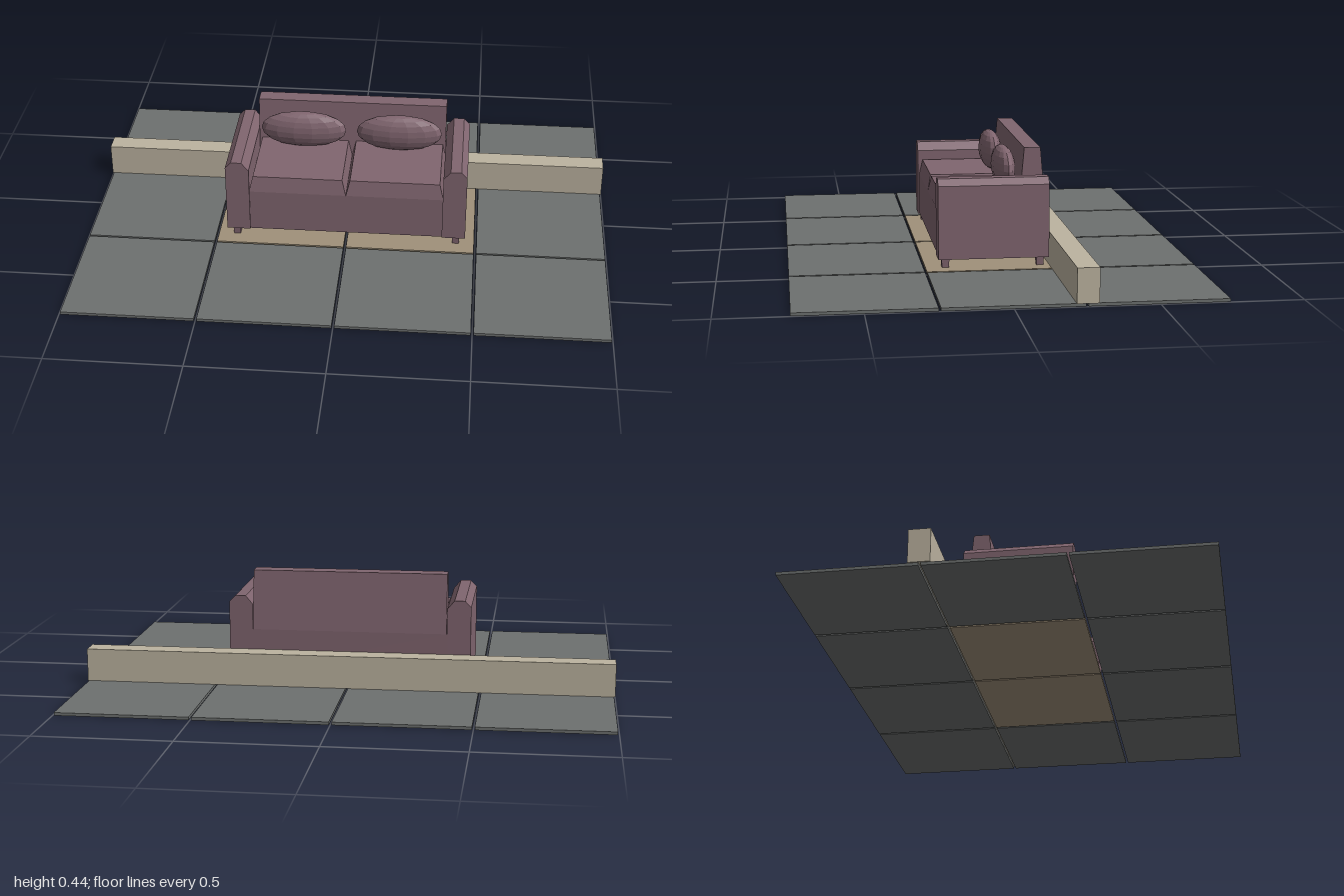
import * as THREE from 'three';

const mat = (name, color) => {
  const m = new THREE.MeshStandardMaterial({ color });
  m.name = name;
  return m;
};

export function createModel() {
  const model = new THREE.Group();
  const plum = mat('plum fabric', 0x80656f);
  const slate = mat('slate grey', 0x6d706f);
  const tan = mat('tan floor', 0xa0917a);
  const stone = mat('beige wall', 0xbcb3a0);

  const add = (name, geo, material, parent = model) => {
    const mesh = new THREE.Mesh(geo, material);
    mesh.name = name;
    parent.add(mesh);
    return mesh;
  };

  // Box given by its limits; the top face can be drawn in on x and z
  const box = (x0, x1, y0, y1, z0, z1, inX = 0, inZ = 0) => {
    const g = new THREE.BoxGeometry(x1 - x0, y1 - y0, z1 - z0).toNonIndexed();
    const p = g.attributes.position;
    for (let i = 0; i < p.count; i++) {
      if (p.getY(i) < 0) continue;
      p.setX(i, p.getX(i) - Math.sign(p.getX(i)) * inX);
      p.setZ(i, p.getZ(i) - Math.sign(p.getZ(i)) * inZ);
    }
    g.translate((x0 + x1) / 2, (y0 + y1) / 2, (z0 + z1) / 2);
    g.computeVertexNormals();
    return g;
  };

  // Floor slabs: four by three, the two middle ones tan
  const floor = new THREE.Group();
  floor.name = 'floor';
  model.add(floor);
  for (let i = 0; i < 4; i++) {
    for (let j = 0; j < 3; j++) {
      const x = -0.75 + i * 0.5, z = -0.498 + j * 0.498;
      const middle = j === 1 && (i === 1 || i === 2);
      add('floorTile', box(x - 0.245, x + 0.245, 0, 0.011, z - 0.245, z + 0.245), middle ? tan : slate, floor);
    }
  }

  // Low wall behind the sofa
  add('lowWall', box(-1, 1, 0.011, 0.135, -0.29, -0.212), stone);

  const sofa = new THREE.Group();
  sofa.name = 'sofa';
  model.add(sofa);

  // Body and backrest
  add('base', box(-0.372, 0.372, 0.045, 0.212, -0.208, 0.194), plum, sofa);
  add('backrest', box(-0.368, 0.368, 0.212, 0.438, -0.208, -0.108, 0, 0.02), plum, sofa);

  for (const s of [1, -1]) {
    // Arm with a chamfered top
    const outline = [[0.37, 0.045], [0.46, 0.045], [0.46, 0.317], [0.437, 0.341], [0.397, 0.341], [0.37, 0.309]];
    const shape = new THREE.Shape(outline.map(([x, y]) => new THREE.Vector2(s * x, y)));
    const arm = new THREE.ExtrudeGeometry(shape, { depth: 0.408, bevelEnabled: false });
    arm.translate(0, 0, -0.208);
    add('arm', arm, plum, sofa);

    // Seat cushion, narrowing upward
    const cx = s * 0.186;
    add('seatCushion', box(cx - 0.186, cx + 0.186, 0.212, 0.273, -0.125, 0.194, 0.015, 0.012), plum, sofa);

    // Faceted throw pillow: flattened ball with a full outline and thin ends
    const pillow = new THREE.SphereGeometry(1, 14, 10).toNonIndexed();
    const p = pillow.attributes.position;
    for (let i = 0; i < p.count; i++) {
      const x = p.getX(i), y = p.getY(i), z = p.getZ(i);
      p.setXYZ(i, 0.166 * x, 0.074 * y * (1 + 0.12 * x * x), 0.043 * z * (1 - 0.15 * x * x));
    }
    pillow.computeVertexNormals();
    add('pillow', pillow, plum, sofa).position.set(s * 0.187, 0.343, -0.074);

    // Legs, narrowing downward
    for (const z of [0.172, -0.178]) {
      const leg = new THREE.CylinderGeometry(0.0205, 0.018, 0.034, 4, 1).toNonIndexed();
      leg.rotateY(Math.PI / 4);
      leg.computeVertexNormals();
      add('leg', leg, plum, sofa).position.set(s * 0.424, 0.028, z);
    }
  }
  return model;
}
